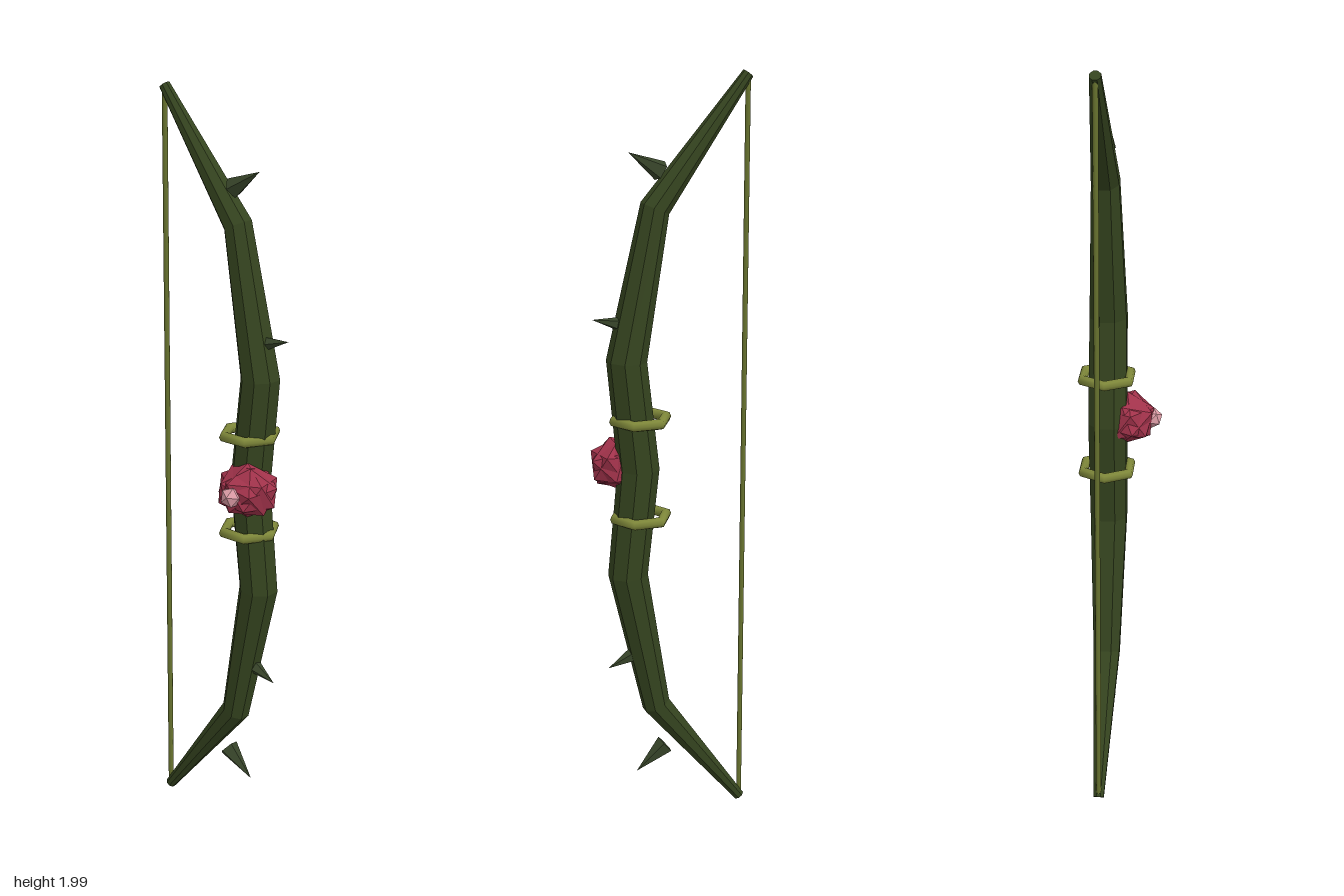
import * as THREE from 'three';

const mat = (name, color, flatShading = true) => {
  const m = new THREE.MeshStandardMaterial({ color, flatShading });
  m.name = name;
  return m;
};

const Z = -0.033; // plane of the bow

// Tapered tube through [x, y, radius] points, with mitred joints and closed ends
function limbGeometry(path, sides) {
  const pos = [], idx = [];
  path.forEach(([x, y, r], i) => {
    const dir = (a, b) => new THREE.Vector2(b[0] - a[0], b[1] - a[1]).normalize();
    const t = new THREE.Vector2();
    if (i > 0) t.add(dir(path[i - 1], path[i]));
    if (i < path.length - 1) t.add(dir(path[i], path[i + 1]));
    t.normalize();
    for (let s = 0; s < sides; s++) {
      const a = ((s + 0.5) / sides) * Math.PI * 2;
      const c = Math.cos(a) * r * 1.06;
      pos.push(x + t.y * c, y - t.x * c, Z + Math.sin(a) * r * 1.06);
    }
  });
  for (let i = 0; i < path.length - 1; i++) {
    for (let s = 0; s < sides; s++) {
      const a = i * sides + s, b = i * sides + (s + 1) % sides;
      idx.push(a, a + sides, b, b, a + sides, b + sides);
    }
  }
  const last = (path.length - 1) * sides;
  for (let s = 1; s < sides - 1; s++) {
    idx.push(0, s, s + 1, last, last + s + 1, last + s);
  }
  const g = new THREE.BufferGeometry();
  g.setAttribute('position', new THREE.Float32BufferAttribute(pos, 3));
  g.setIndex(idx);
  g.computeVertexNormals();
  return g;
}

export function createModel() {
  const group = new THREE.Group();
  const bark = mat('dark green bark', 0x35441f);
  const thornMat = mat('thorn green', 0x38452a);
  const vine = mat('olive vine', 0x7f883a, false);
  const cord = mat('bowstring green', 0x68732f, false);
  const petal = mat('rose red', 0xa0324a);
  const heart = mat('pale pink', 0xdc9ca6);

  const add = (name, geometry, material, x = 0, y = 0, z = 0) => {
    const mesh = new THREE.Mesh(geometry, material);
    mesh.name = name;
    mesh.position.set(x, y, z);
    group.add(mesh);
    return mesh;
  };

  // Bow stave, mirrored about its grip
  const upper = [[0.118, 1.29, 0.049], [0.042, 1.672, 0.036], [-0.2, 1.99, 0.014]];
  const lower = upper.map(([x, y, r]) => [x, 2.005 - y, r]).reverse();
  add('bowStave', limbGeometry([...lower, [0.088, 1.0025, 0.051], ...upper], 8), bark);

  // Bowstring
  add('bowstring', new THREE.CylinderGeometry(0.007, 0.007, 1.96, 8), cord, -0.2, 1.0025, Z);

  // Six-cornered vine rings around the grip
  for (const y of [0.872, 1.135]) {
    const ring = add('gripRing', new THREE.TorusGeometry(0.069, 0.014, 8, 6), vine, 0.083, y, -0.035);
    ring.rotation.x = Math.PI / 2;
  }

  // Thorns: base x, y, tip x, y, radius
  const thorns = [
    [0.026, 1.762, 0.11, 1.812, 0.027],
    [0.125, 1.384, 0.207, 1.403, 0.021],
    [0.098, 0.488, 0.174, 0.455, 0.022],
    [0.016, 0.207, 0.097, 0.14, 0.027],
  ];
  for (const [x0, y0, x1, y1, r] of thorns) {
    const dir = new THREE.Vector3(x1 - x0, y1 - y0, 0);
    const thorn = add('thorn', new THREE.ConeGeometry(r, dir.length(), 5), thornMat,
      (x0 + x1) / 2, (y0 + y1) / 2, Z);
    thorn.quaternion.setFromUnitVectors(new THREE.Vector3(0, 1, 0), dir.normalize());
  }

  // Rose made of two crossed faceted bodies and a pale heart
  const rose = new THREE.Group();
  rose.name = 'rose';
  rose.position.set(0.12, 1.005, 0.016);
  rose.scale.set(1.03, 0.86, 0.95);
  for (const [rx, ry, rz] of [[0, 0.2, 0.55], [0.6, 0.9, 0.1]]) {
    const body = new THREE.Mesh(new THREE.IcosahedronGeometry(0.085, 0), petal);
    body.name = 'rosePetals';
    body.rotation.set(rx, ry, rz);
    rose.add(body);
  }
  group.add(rose);
  const core = add('roseHeart', new THREE.IcosahedronGeometry(0.029, 0), heart, 0.121, 1.005, 0.081);
  core.rotation.set(0.3, 0.4, 0.2);

  return group;
}
